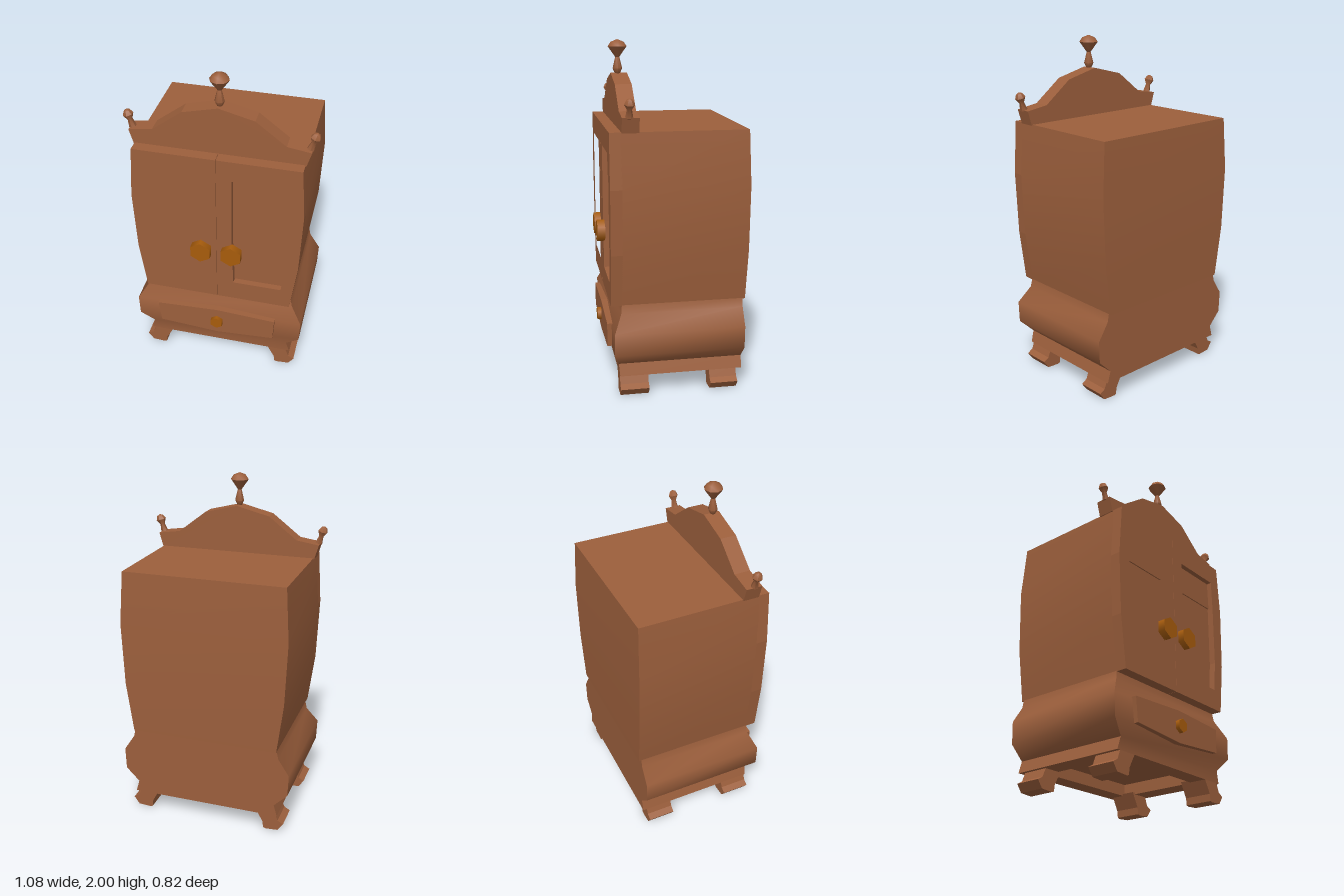
import * as THREE from 'three';
import { toCreasedNormals } from 'three/addons/utils/BufferGeometryUtils.js';

export function createModel() {
  const group = new THREE.Group();
  const wood = new THREE.MeshStandardMaterial({ color: 0x9c5f3c });
  wood.name = 'brown wood';
  const brass = new THREE.MeshStandardMaterial({ color: 0xa75c0c });
  brass.name = 'aged brass';

  const add = (name, geometry, material, x = 0, y = 0, z = 0) => {
    const mesh = new THREE.Mesh(geometry, material);
    mesh.name = name;
    mesh.position.set(x, y, z);
    group.add(mesh);
    return mesh;
  };

  // Rectangular sections [y, halfWidth, zFront, zBack] joined into a closed solid
  function loft(rings) {
    const pos = [], idx = [];
    for (const [y, w, f, b] of rings) pos.push(-w, y, f, w, y, f, w, y, b, -w, y, b);
    for (let i = 0; i < rings.length - 1; i++) {
      for (let j = 0; j < 4; j++) {
        const a = i * 4 + j, b = i * 4 + (j + 1) % 4;
        idx.push(a, b, b + 4, a, b + 4, a + 4);
      }
    }
    const t = (rings.length - 1) * 4;
    idx.push(0, 2, 1, 0, 3, 2, t, t + 1, t + 2, t, t + 2, t + 3);
    const g = new THREE.BufferGeometry();
    g.setAttribute('position', new THREE.Float32BufferAttribute(pos, 3));
    g.setIndex(idx);
    return toCreasedNormals(g, 0.75);
  }

  // Outline in x and y, extruded from z0 to z1, optionally mirrored and pierced
  function slab(points, z0, z1, side = 1, hole = null) {
    const path = (p) => p.map(([x, y]) => new THREE.Vector2(x * side, y));
    const shape = new THREE.Shape(path(points));
    if (hole) shape.holes.push(new THREE.Path(path(hole)));
    const g = new THREE.ExtrudeGeometry(shape, { depth: z1 - z0, bevelEnabled: false });
    return g.translate(0, 0, z0);
  }

  // Swelling base with a hollow underside
  add('base', loft([
    [0.19, 0.33, 0.22, -0.28],
    [0.12, 0.33, 0.22, -0.28],
    [0.12, 0.45, 0.325, -0.39],
    [0.19, 0.43, 0.33, -0.39],
    [0.27, 0.51, 0.36, -0.39],
    [0.40, 0.515, 0.36, -0.39],
    [0.50, 0.45, 0.315, -0.39],
    [0.55, 0.44, 0.31, -0.39],
  ]), wood);

  // Cabinet with gently bowed sides
  add('cabinet', loft([
    [0.545, 0.44, 0.31, -0.405],
    [0.85, 0.48, 0.31, -0.41],
    [1.22, 0.495, 0.31, -0.41],
    [1.53, 0.475, 0.31, -0.40],
  ]), wood);

  const doorOutline = [[0.001, 0.545], [0.44, 0.545], [0.48, 0.85], [0.495, 1.22], [0.475, 1.53], [0.001, 1.53]];
  const doorHole = [[0.10, 0.67], [0.385, 0.67], [0.405, 0.85], [0.41, 1.22], [0.405, 1.405], [0.09, 1.405], [0.09, 0.95]];
  const legOutline = [[0.31, 0.13], [0.355, 0.045], [0.36, 0.005], [0.375, 0], [0.45, 0.005], [0.482, 0.05], [0.448, 0.07], [0.425, 0.13]];
  const sideFinial = [[0, -0.01], [0.022, 0], [0.014, 0.045], [0.03, 0.075], [0.018, 0.10], [0, 0.108]];
  const lathe = (p, n) => toCreasedNormals(
    new THREE.LatheGeometry(p.map(([r, y]) => new THREE.Vector2(r, y)), n), 0.8);

  for (const s of [1, -1]) {
    const label = s > 0 ? 'left' : 'right';

    // Framed door with a recessed panel and a hexagonal knob
    add(label + 'DoorFrame', slab(doorOutline, 0.305, 0.372, s, doorHole), wood);
    add(label + 'DoorPanel', new THREE.BoxGeometry(0.34, 0.76, 0.03), wood, s * 0.25, 1.04, 0.32);
    add(label + 'UpperPanel', new THREE.BoxGeometry(0.33, 0.18, 0.008), wood, s * 0.25, 1.32, 0.338);
    add(label + 'DoorKnob', new THREE.CylinderGeometry(0.066, 0.066, 0.045, 6).rotateX(Math.PI / 2),
      brass, s * 0.09, 0.895, 0.3885);

    // Splayed feet
    add(label + 'FrontLeg', slab(legOutline, 0.16, 0.325, s), wood);
    add(label + 'BackLeg', slab(legOutline, -0.36, -0.2, s), wood);

    // Small leaning finial at the pediment end
    const finial = add(label + 'Finial', lathe(sideFinial, 6), wood, s * 0.492, 1.61, 0.265);
    finial.rotation.z = -s * 0.3;
  }

  // Drawer front and knob
  add('drawerFront', slab([[-0.375, 0.41], [-0.36, 0.27], [0, 0.245], [0.35, 0.27], [0.358, 0.41], [0, 0.43]],
    0.33, 0.386), wood);
  add('drawerKnob', new THREE.CylinderGeometry(0.04, 0.04, 0.03, 6).rotateX(Math.PI / 2),
    brass, 0, 0.34, 0.395);

  // Arched pediment
  const half = [[0.48, 1.525], [0.505, 1.61], [0.37, 1.63], [0.2, 1.76]];
  const mirrored = half.map(([x, y]) => [-x, y]).reverse();
  add('pediment', slab([...half, [0, 1.81], ...mirrored], 0.21, 0.305), wood);

  // Central finial
  add('centreFinial', lathe([[0, 1.80], [0.014, 1.805], [0.028, 1.835], [0.012, 1.90],
    [0.03, 1.925], [0.055, 1.96], [0.038, 1.985], [0, 2]], 8), wood, 0, 0, 0.265);

  return group;
}
